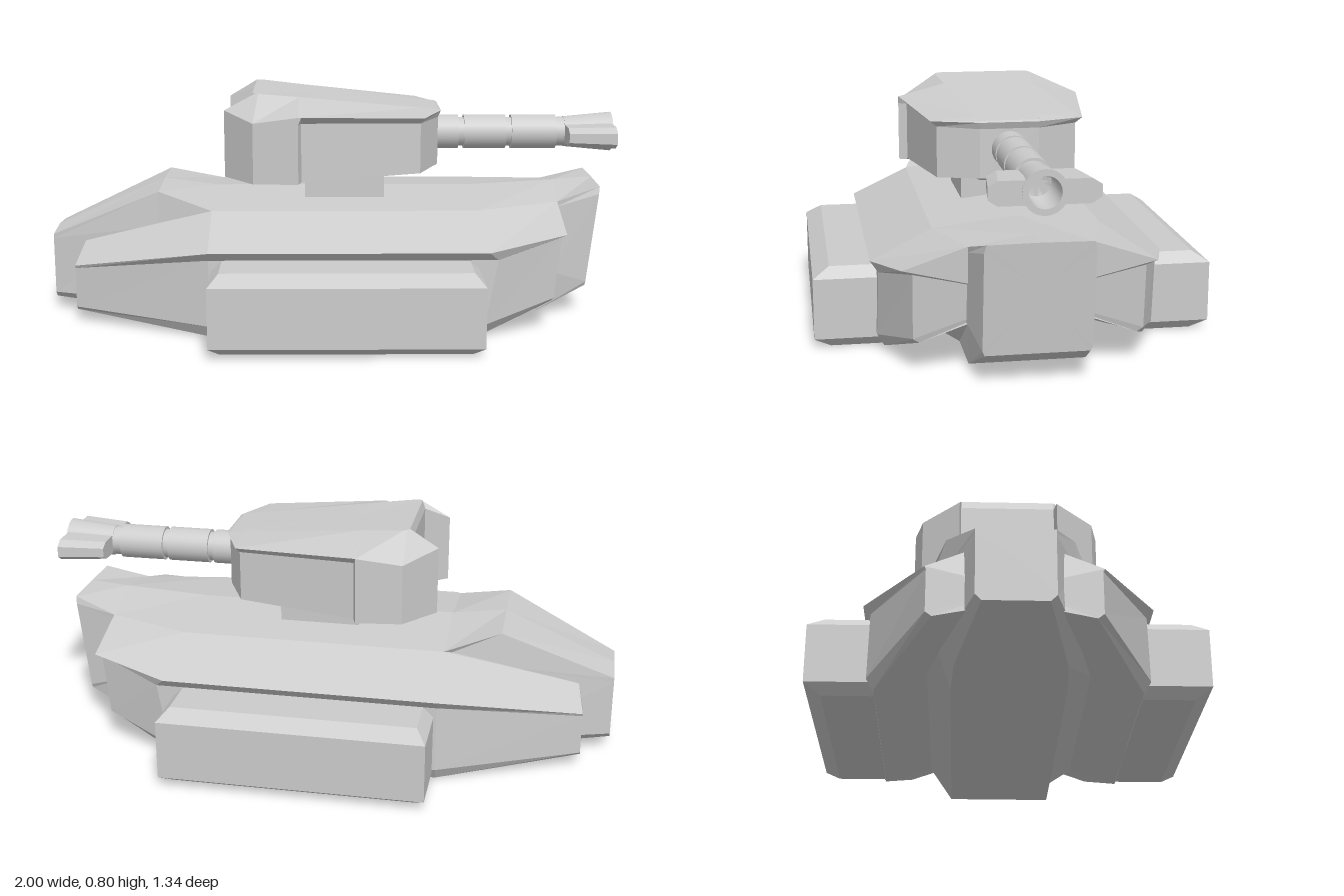
import * as THREE from 'three';

const material = new THREE.MeshStandardMaterial({ color: 0xcccccc, flatShading: true });
const smooth = new THREE.MeshStandardMaterial({ color: 0xcccccc });

// Completes half a cross-section (z >= 0) with its mirror image
const mirrored = half => [...half, ...[...half].reverse().map(([x, y, z]) => [x, y, -z])];

// Skins a stack of closed cross-sections and caps both ends
function loft(name, rings) {
  const tris = [];
  const n = rings[0].length;
  for (let r = 0; r < rings.length - 1; r++) {
    for (let i = 0; i < n; i++) {
      const j = (i + 1) % n;
      const [a, b, c, d] = [rings[r][i], rings[r][j], rings[r + 1][j], rings[r + 1][i]];
      tris.push([a, b, c], [a, c, d]);
    }
  }
  const cap = (ring, flip) => {
    const mid = [0, 1, 2].map(k => ring.reduce((sum, p) => sum + p[k], 0) / n);
    ring.forEach((p, i) => {
      const q = ring[(i + 1) % n];
      tris.push(flip ? [mid, q, p] : [mid, p, q]);
    });
  };
  cap(rings[0], true);
  cap(rings[rings.length - 1], false);
  // Turn the faces outward whatever the order of the sections
  const v = p => new THREE.Vector3(...p);
  const volume = tris.reduce((sum, [a, b, c]) => sum + v(a).dot(v(b).cross(v(c))), 0);
  if (volume < 0) tris.forEach(t => t.reverse());
  const geometry = new THREE.BufferGeometry();
  geometry.setAttribute('position', new THREE.Float32BufferAttribute(tris.flat(2), 3));
  geometry.computeVertexNormals();
  const mesh = new THREE.Mesh(geometry, material);
  mesh.name = name;
  return mesh;
}

export function createModel() {
  const model = new THREE.Group();
  model.name = 'tank';

  // Central hull, from tail to nose; each half section runs bottom to top ridge
  const middle = x => [[x, 0.012, 0.19], [x, 0.065, 0.27], [x, 0.39, 0.27], [x, 0.407, 0.28], [x, 0.44, 0]];
  model.add(loft('centralHull', [
    [[-1, 0.05, 0.1], [-1, 0.07, 0.12], [-1, 0.27, 0.12], [-1, 0.285, 0.12], [-1, 0.295, 0]],
    [[-0.61, 0.015, 0.18], [-0.61, 0.065, 0.23], [-0.61, 0.34, 0.22], [-0.61, 0.46, 0.21], [-0.61, 0.466, 0]],
    middle(-0.42),
    middle(0.5),
    [[0.72, 0.015, 0.19], [0.77, 0.165, 0.2], [0.78, 0.4, 0.2], [0.785, 0.42, 0.2], [0.8, 0.457, 0]],
    [[0.9, 0.105, 0.165], [0.9017, 0.12, 0.172], [0.937, 0.44, 0.172], [0.94, 0.466, 0.165], [0.94, 0.468, 0]],
  ].map(mirrored)));

  // Wide lower hull: keeled running sides under an overhanging deck edge
  model.add(loft('sideHull', [
    [[-0.9, 0.07, 0.12], [-0.9, 0.045, 0.245], [-0.9, 0.06, 0.265], [-0.9, 0.2, 0.265], [-0.9, 0.21, 0.27], [-0.88, 0.27, 0.15]],
    [[-0.42, 0.065, 0.26], [-0.42, 0.008, 0.44], [-0.42, 0.05, 0.465], [-0.42, 0.28, 0.46], [-0.42, 0.31, 0.485], [-0.42, 0.407, 0.28]],
    [[0.5, 0.065, 0.26], [0.49, 0.008, 0.44], [0.51, 0.055, 0.465], [0.55, 0.28, 0.46], [0.52, 0.31, 0.485], [0.5, 0.407, 0.28]],
    [[0.77, 0.165, 0.2], [0.75, 0.105, 0.35], [0.755, 0.12, 0.37], [0.775, 0.335, 0.37], [0.787, 0.352, 0.405], [0.785, 0.42, 0.2]],
  ].map(mirrored)));

  // Bevelled track boxes on both sides
  for (const side of [1, -1]) {
    const rect = (y, dx, dz) => [
      [-0.41 + dx, y, side * 0.44], [0.49 - dx, y, side * 0.44],
      [0.49 - dx, y, side * (0.67 - dz)], [-0.41 + dx, y, side * (0.67 - dz)],
    ];
    model.add(loft(side > 0 ? 'leftTrackBox' : 'rightTrackBox', [
      rect(0.005, 0.035, 0.055), rect(0.04, 0, 0), rect(0.245, 0, 0), rect(0.28, 0.035, 0.055),
    ]));
  }

  // Turret neck
  const neck = new THREE.Mesh(new THREE.BoxGeometry(0.28, 0.14, 0.28), material);
  neck.name = 'turretNeck';
  neck.position.set(0.04, 0.47, 0);
  model.add(neck);

  // Turret, stacked from underside to roof; each half section runs rear to front,
  // with side walls set in behind the cheeks and under the roof lip
  model.add(loft('turret', [
    [[-0.28, 0.48, 0.165], [-0.27, 0.48, 0.175], [-0.26, 0.481, 0.18], [-0.12, 0.492, 0.162], [-0.11, 0.493, 0.16], [0.31, 0.525, 0.109], [0.36, 0.529, 0.1]],
    [[-0.29, 0.5, 0.165], [-0.38, 0.505, 0.17], [-0.275, 0.505, 0.3], [-0.12, 0.51, 0.33], [-0.11, 0.512, 0.3], [0.3, 0.53, 0.238], [0.37, 0.537, 0.1]],
    [[-0.29, 0.72, 0.165], [-0.38, 0.71, 0.17], [-0.275, 0.7, 0.3], [-0.12, 0.715, 0.33], [-0.11, 0.715, 0.3], [0.3, 0.705, 0.238], [0.37, 0.705, 0.1]],
    [[-0.29, 0.77, 0.165], [-0.38, 0.74, 0.17], [-0.275, 0.715, 0.3], [-0.12, 0.74, 0.33], [-0.11, 0.74, 0.328], [0.31, 0.725, 0.26], [0.38, 0.728, 0.1]],
    [[-0.28, 0.801, 0.165], [-0.27, 0.8, 0.175], [-0.26, 0.799, 0.18], [-0.12, 0.785, 0.162], [-0.11, 0.784, 0.16], [0.31, 0.739, 0.109], [0.37, 0.733, 0.1]],
  ].map(mirrored)));

  const gun = new THREE.Group();
  gun.name = 'gun';
  gun.position.y = 0.635;
  model.add(gun);

  // Barrel sleeves over a thinner core
  const tube = (name, x0, x1, radius) => {
    const mesh = new THREE.Mesh(new THREE.CylinderGeometry(radius, radius, x1 - x0, 24), smooth);
    mesh.name = name;
    mesh.rotation.z = -Math.PI / 2;
    mesh.position.x = (x0 + x1) / 2;
    gun.add(mesh);
  };
  tube('barrelCore', 0.3, 0.86, 0.052);
  for (const [x0, x1] of [[0.3, 0.45], [0.47, 0.62], [0.64, 0.8]]) tube('barrelSleeve', x0, x1, 0.061);

  // Hollow flared muzzle
  const profile = [[0, 0.86], [0.045, 0.86], [0.05, 1], [0.05, 1], [0.07, 1], [0.07, 1], [0.054, 0.83], [0.054, 0.83], [0, 0.83]];
  const muzzle = new THREE.Mesh(
    new THREE.LatheGeometry(profile.map(p => new THREE.Vector2(...p)).reverse(), 24),
    new THREE.MeshStandardMaterial({ color: 0xcccccc, side: THREE.DoubleSide }));
  muzzle.name = 'muzzle';
  muzzle.rotation.z = -Math.PI / 2;
  gun.add(muzzle);

  // Flaring muzzle fins with rounded outer edges
  for (const side of [1, -1]) {
    const fin = (x, w, h) => [
      [x, -h, side * 0.052], [x, -h, side * (w - 0.03)], [x, -h * 0.5, side * w],
      [x, h * 0.5, side * w], [x, h, side * (w - 0.03)], [x, h, side * 0.052],
    ];
    gun.add(loft(side > 0 ? 'leftMuzzleFin' : 'rightMuzzleFin', [fin(0.83, 0.15, 0.032), fin(0.995, 0.17, 0.038)]));
  }
  return model;
}
